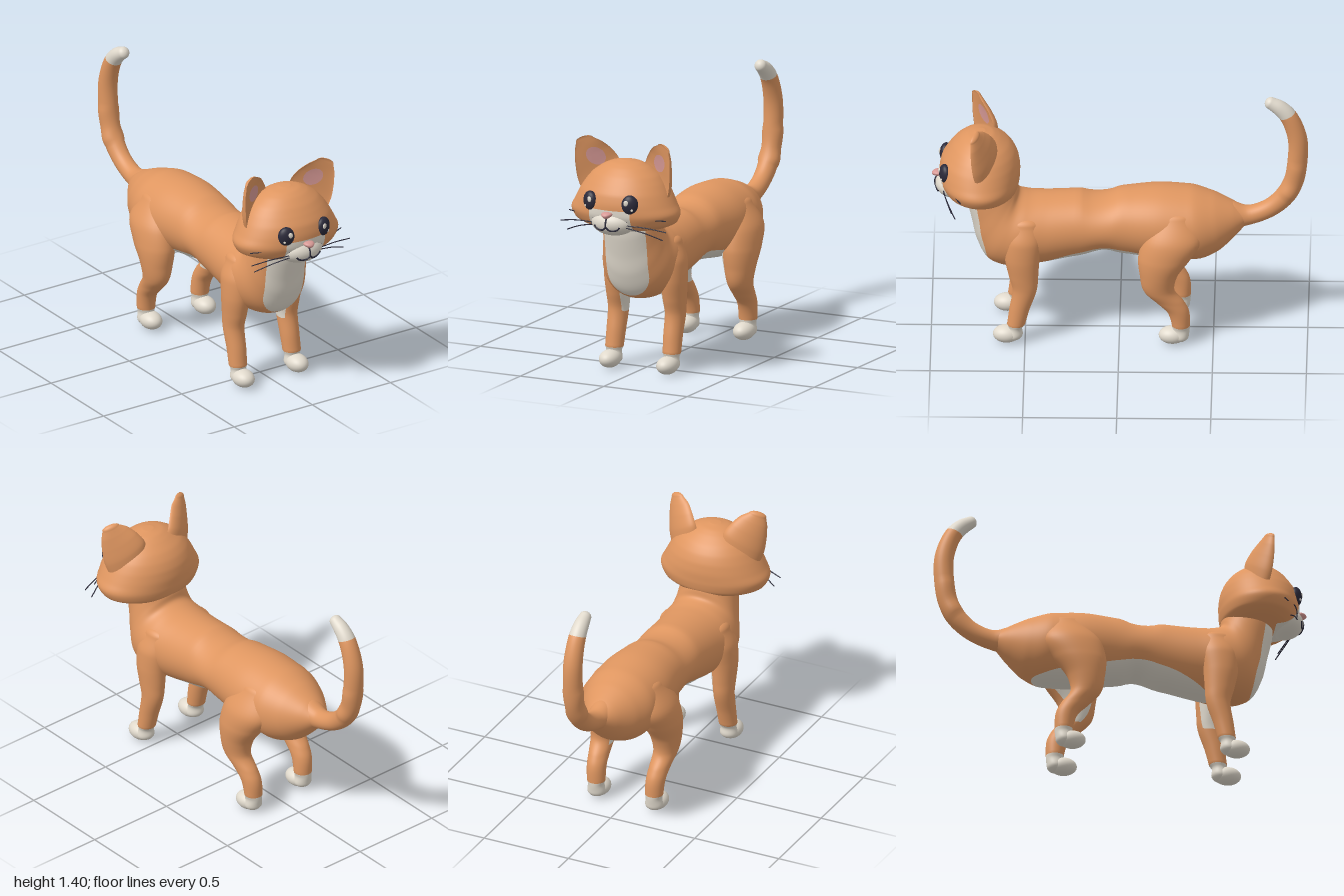
import * as THREE from 'three';

const mat = (name, color) => {
  const m = new THREE.MeshStandardMaterial({ color });
  m.name = name;
  return m;
};
const V = (x, y, z) => new THREE.Vector3(x, y, z);

// Smooth loft through elliptical sections [centre, halfAxisU, halfAxisV], with rounded ends.
// "front" scales the +V half of every ring (negative makes it hollow).
function loft(sections, { steps = 60, sides = 48, capStart = 0.01, capEnd = 0.01, front = 1 } = {}) {
  const curves = [0, 1, 2].map(k => new THREE.CatmullRomCurve3(sections.map(s => s[k])));
  const at = t => curves.map(c => c.getPoint(t));
  const rings = [];
  const dome = (t, length) => {
    const [c, u, v] = at(t), dir = curves[0].getTangent(t), list = [];
    for (let k = 1; k <= 8; k++) {
      const a = k / 8 * 1.54, s = Math.cos(a);
      list.push([c.clone().addScaledVector(dir, length * Math.sin(a)),
        u.clone().multiplyScalar(s), v.clone().multiplyScalar(s)]);
    }
    return list;
  };
  rings.push(...dome(0, -capStart).reverse());
  for (let i = 0; i <= steps; i++) rings.push(at(i / steps));
  rings.push(...dome(1, capEnd));

  const pos = [], index = [], n = rings.length;
  for (const [c, u, v] of rings) for (let j = 0; j < sides; j++) {
    const a = j / sides * Math.PI * 2, s = Math.sin(a);
    const p = c.clone().addScaledVector(u, Math.cos(a)).addScaledVector(v, s > 0 ? s * front : s);
    pos.push(p.x, p.y, p.z);
  }
  const [, mu, mv] = at(0.5);
  const flip = mu.clone().cross(mv).dot(curves[0].getTangent(0.5)) < 0;
  const tri = (a, b, c) => flip ? index.push(a, c, b) : index.push(a, b, c);
  const ends = [rings[0][0], rings[n - 1][0]];
  ends.forEach(p => pos.push(p.x, p.y, p.z));
  for (let j = 0; j < sides; j++) {
    const k = (j + 1) % sides;
    for (let i = 0; i < n - 1; i++) {
      const a = i * sides, b = a + sides;
      tri(a + j, a + k, b + j);
      tri(a + k, b + k, b + j);
    }
    tri(n * sides, k, j);
    tri(n * sides + 1, (n - 1) * sides + j, (n - 1) * sides + k);
  }
  const g = new THREE.BufferGeometry();
  g.setAttribute('position', new THREE.Float32BufferAttribute(pos, 3));
  g.setIndex(index);
  g.computeVertexNormals();
  return g;
}

// Cuts a surface cleanly where field(point) = 0: group 0 is outside, group 1 inside.
function paint(geometry, field) {
  const g = geometry.toNonIndexed(), P = g.attributes.position, N = g.attributes.normal;
  const out = [[], []];
  for (let i = 0; i < P.count; i += 3) {
    const corners = [0, 1, 2].map(k => {
      const p = V().fromBufferAttribute(P, i + k);
      return { p, n: V().fromBufferAttribute(N, i + k), f: field(p) };
    });
    [-1, 1].forEach((sign, side) => {
      const poly = [];
      corners.forEach((a, k) => {
        const b = corners[(k + 1) % 3];
        if (a.f * sign >= 0) poly.push(a);
        if (a.f * b.f < 0) {
          const t = a.f / (a.f - b.f);
          poly.push({ p: a.p.clone().lerp(b.p, t), n: a.n.clone().lerp(b.n, t) });
        }
      });
      for (let k = 1; k < poly.length - 1; k++) out[side].push(poly[0], poly[k], poly[k + 1]);
    });
  }
  const all = [...out[0], ...out[1]], res = new THREE.BufferGeometry();
  res.setAttribute('position', new THREE.Float32BufferAttribute(all.flatMap(c => c.p.toArray()), 3));
  res.setAttribute('normal', new THREE.Float32BufferAttribute(all.flatMap(c => c.n.toArray()), 3));
  res.addGroup(0, out[0].length, 0);
  res.addGroup(out[0].length, out[1].length, 1);
  return res;
}

export function createModel() {
  const orange = mat('orangeFur', 0xdf9660), white = mat('creamFur', 0xe0d9cc);
  const pink = mat('pinkSkin', 0xd89a96), dark = mat('darkEye', 0x2b2a3a);
  const cat = new THREE.Group();
  cat.name = 'cat';
  const add = (name, geometry, material, parent = cat) => {
    const m = new THREE.Mesh(geometry, material);
    m.name = name;
    parent.add(m);
    return m;
  };
  const ball = (name, material, p, r, parent = cat) => {
    const m = add(name, new THREE.SphereGeometry(1, 32, 24), material, parent);
    m.position.set(...p);
    m.scale.set(...r);
    return m;
  };
  const tube = (name, pts, r) => add(name,
    new THREE.TubeGeometry(new THREE.CatmullRomCurve3(pts), 20, r, 6), dark);

  // Body and neck: [top z, top y, bottom z, bottom y, half width]
  const body = [
    [-0.66, 0.73, -0.68, 0.65, 0.05], [-0.6, 0.765, -0.62, 0.58, 0.1], [-0.5, 0.81, -0.53, 0.495, 0.165],
    [-0.38, 0.845, -0.42, 0.45, 0.21], [-0.22, 0.855, -0.24, 0.45, 0.215], [0, 0.835, 0, 0.48, 0.19],
    [0.2, 0.82, 0.2, 0.465, 0.188], [0.38, 0.81, 0.42, 0.42, 0.2], [0.48, 0.812, 0.58, 0.4, 0.215],
    [0.53, 0.83, 0.7, 0.44, 0.2], [0.54, 0.87, 0.76, 0.55, 0.178], [0.55, 0.91, 0.785, 0.66, 0.165],
    [0.57, 0.96, 0.81, 0.77, 0.155], [0.62, 0.98, 0.82, 0.88, 0.12],
  ].map(([zt, yt, zb, yb, w]) => [V(0, (yt + yb) / 2, (zt + zb) / 2), V(w, 0, 0), V(0, (yt - yb) / 2, (zt - zb) / 2)]);
  const bib = p => Math.min(0.125 - Math.hypot(p.x, Math.max(0, 0.56 - p.y)), p.z - 0.62);
  const belly = p => Math.min(1 - (p.x / 0.15) ** 2 - (p.z / 0.48) ** 4, (0.56 - p.y) * 5);
  add('body', paint(loft(body, { steps: 90, sides: 64 }), p => Math.max(bib(p), belly(p))), [orange, white]);

  // Head: [y, back z, front z, half width]
  const head = [
    [0.815, 0.66, 0.8, 0.04], [0.825, 0.61, 0.86, 0.14], [0.84, 0.57, 0.9, 0.225], [0.87, 0.54, 0.935, 0.287],
    [0.92, 0.53, 0.955, 0.308], [0.97, 0.528, 0.957, 0.285], [1.03, 0.535, 0.945, 0.254], [1.08, 0.555, 0.915, 0.222],
    [1.12, 0.585, 0.885, 0.187], [1.16, 0.635, 0.842, 0.13], [1.18, 0.67, 0.808, 0.084], [1.19, 0.71, 0.77, 0.035],
  ].map(([y, b, f, w]) => [V(0, y, (b + f) / 2), V(w, 0, 0), V(0, 0, (f - b) / 2)]);
  add('head', paint(loft(head, { sides: 64, capStart: 0.002, capEnd: 0.002 }),
    p => Math.min(0.122 - Math.abs(p.x), 0.955 - p.y, p.z - 0.82)), [orange, white]);

  // Muzzle, nose and mouth
  ball('muzzle', white, [0, 0.88, 0.885], [0.125, 0.072, 0.095]);
  const muzzleZ = (x, y) => 0.887 + 0.095 * Math.sqrt(1 - (x / 0.125) ** 2 - ((y - 0.88) / 0.072) ** 2);
  const onMuzzle = (x, y) => V(x, y, muzzleZ(x, y));
  const nose = new THREE.SphereGeometry(1, 24, 16), np = nose.attributes.position;
  for (let i = 0; i < np.count; i++) np.setX(i, np.getX(i) * (0.75 + 0.35 * np.getY(i)));
  nose.computeVertexNormals();
  const noseMesh = add('nose', nose, pink);
  noseMesh.position.set(0, 0.931, 0.965);
  noseMesh.scale.set(0.037, 0.018, 0.033);
  tube('mouthLine', [0.915, 0.89, 0.868].map(y => onMuzzle(0, y)), 0.005);

  // Tail: [y, z, radius] along its curve
  const tailPts = [[0.69, -0.6, 0.075], [0.69, -0.69, 0.053], [0.735, -0.8, 0.05], [0.81, -0.88, 0.053],
    [0.9, -0.925, 0.053], [1.02, -0.945, 0.053], [1.14, -0.947, 0.052], [1.23, -0.925, 0.049],
    [1.3, -0.89, 0.046], [1.345, -0.845, 0.041], [1.372, -0.8, 0.033]];
  const tailPath = new THREE.CatmullRomCurve3(tailPts.map(([y, z]) => V(0, y, z)));
  const tail = tailPts.map(([y, z, r], i) => {
    const t = tailPath.getTangent(i / (tailPts.length - 1));
    return [V(0, y, z), V(r, 0, 0), V(0, t.z, -t.y).multiplyScalar(-r)];
  });
  add('tail', paint(loft(tail, { sides: 32, capEnd: 0.028 }),
    p => p.y - 1.3 + 0.45 * (p.z + 0.89)), [orange, white]);

  // Legs: [y, x, z, half width, half depth]
  const legs = {
    front: [[0.7, 0.15, 0.5, 0.045, 0.08], [0.6, 0.16, 0.51, 0.072, 0.1], [0.5, 0.166, 0.515, 0.07, 0.092],
      [0.4, 0.168, 0.508, 0.062, 0.078], [0.32, 0.17, 0.502, 0.055, 0.065], [0.2, 0.17, 0.53, 0.052, 0.054],
      [0.11, 0.172, 0.548, 0.05, 0.048], [0.05, 0.172, 0.56, 0.05, 0.048]],
    rear: [[0.75, 0.12, -0.3, 0.07, 0.11], [0.62, 0.165, -0.28, 0.1, 0.16], [0.52, 0.178, -0.24, 0.098, 0.14],
      [0.42, 0.185, -0.21, 0.082, 0.1], [0.33, 0.186, -0.212, 0.065, 0.082], [0.26, 0.18, -0.268, 0.055, 0.075],
      [0.2, 0.176, -0.312, 0.052, 0.059], [0.11, 0.172, -0.328, 0.05, 0.048], [0.05, 0.172, -0.325, 0.05, 0.046]],
  };
  const legWhite = p => Math.max(0.11 - p.y, Math.min(0.13 - Math.abs(p.x), p.y - 0.3, 0.54 - p.y));

  for (const [side, s] of [['left', 1], ['right', -1]]) {
    for (const [end, rows] of Object.entries(legs)) {
      const secs = rows.map(([y, x, z, rx, rz]) => [V(x * s, y, z), V(rx, 0, 0), V(0, 0, rz)]);
      add(`${side}${end}Leg`, paint(loft(secs, { sides: 40, capStart: 0.04, capEnd: 0.035 }), legWhite), [orange, white]);
      ball(`${side}${end}Paw`, white, [0.172 * s, 0.052, end === 'front' ? 0.598 : -0.283], [0.056, 0.048, 0.073]);
    }

    // Ear: [inner x, y, z, outer x, y, z, thickness], hollow in front with a pink inside
    const ear = [[0.07, 1.14, 0.67, 0.25, 0.99, 0.76, 0.06], [0.085, 1.185, 0.675, 0.272, 1.06, 0.775, 0.058],
      [0.118, 1.235, 0.7, 0.282, 1.14, 0.785, 0.048], [0.155, 1.272, 0.73, 0.284, 1.21, 0.788, 0.036],
      [0.195, 1.292, 0.75, 0.277, 1.26, 0.788, 0.024],
    ].map(([x1, y1, z1, x2, y2, z2, d]) => [V(s * (x1 + x2) / 2, (y1 + y2) / 2, (z1 + z2) / 2),
      V(s * (x2 - x1) / 2, (y2 - y1) / 2, (z2 - z1) / 2), V(-0.47 * s * d, 0, 0.88 * d)]);
    const inner = p => {
      const x = Math.abs(p.x) - 0.19, y = p.y - 1.185;
      return Math.min(1 - ((x - 0.15 * y) / 0.045) ** 2 - (y / 0.05) ** 2, (p.z - 0.688 - 0.5 * x - 0.25 * y) * 20);
    };
    add(`${side}Ear`, paint(loft(ear, { steps: 40, sides: 64, capEnd: 0.022, front: -0.2 }), inner), [orange, pink]);

    // Eye with two highlights
    const eye = new THREE.Group();
    eye.name = `${side}Eye`;
    eye.position.set(0.118 * s, 0.992, 0.926);
    eye.rotation.y = 0.35 * s;
    cat.add(eye);
    ball('eyeball', dark, [0, 0, 0], [0.045, 0.053, 0.03], eye);
    ball('highlight', white, [-0.018 * s, 0.013, 0.025], [0.014, 0.016, 0.006], eye);
    ball('smallHighlight', white, [0.013 * s, -0.024, 0.025], [0.007, 0.008, 0.004], eye);

    // Smile and whiskers
    tube(`${side}Smile`, [[0, 0.868], [0.018, 0.852], [0.042, 0.85], [0.064, 0.858], [0.075, 0.872]]
      .map(([x, y]) => onMuzzle(x * s, y)), 0.005);
    [[0.1, 0.9, 0.29, 0.904, 0.84], [0.1, 0.878, 0.315, 0.855, 0.888], [0.1, 0.866, 0.285, 0.805, 0.87]]
      .forEach(([x1, y1, x2, y2, z2], i) => tube(`${side}Whisker${i + 1}`, [V(x1 * s, y1, 0.935),
        V((x1 + x2) / 2 * s, (y1 + y2) / 2 + 0.007, (0.945 + z2) / 2), V(x2 * s, y2, z2)], 0.003));
  }
  return cat;
}
